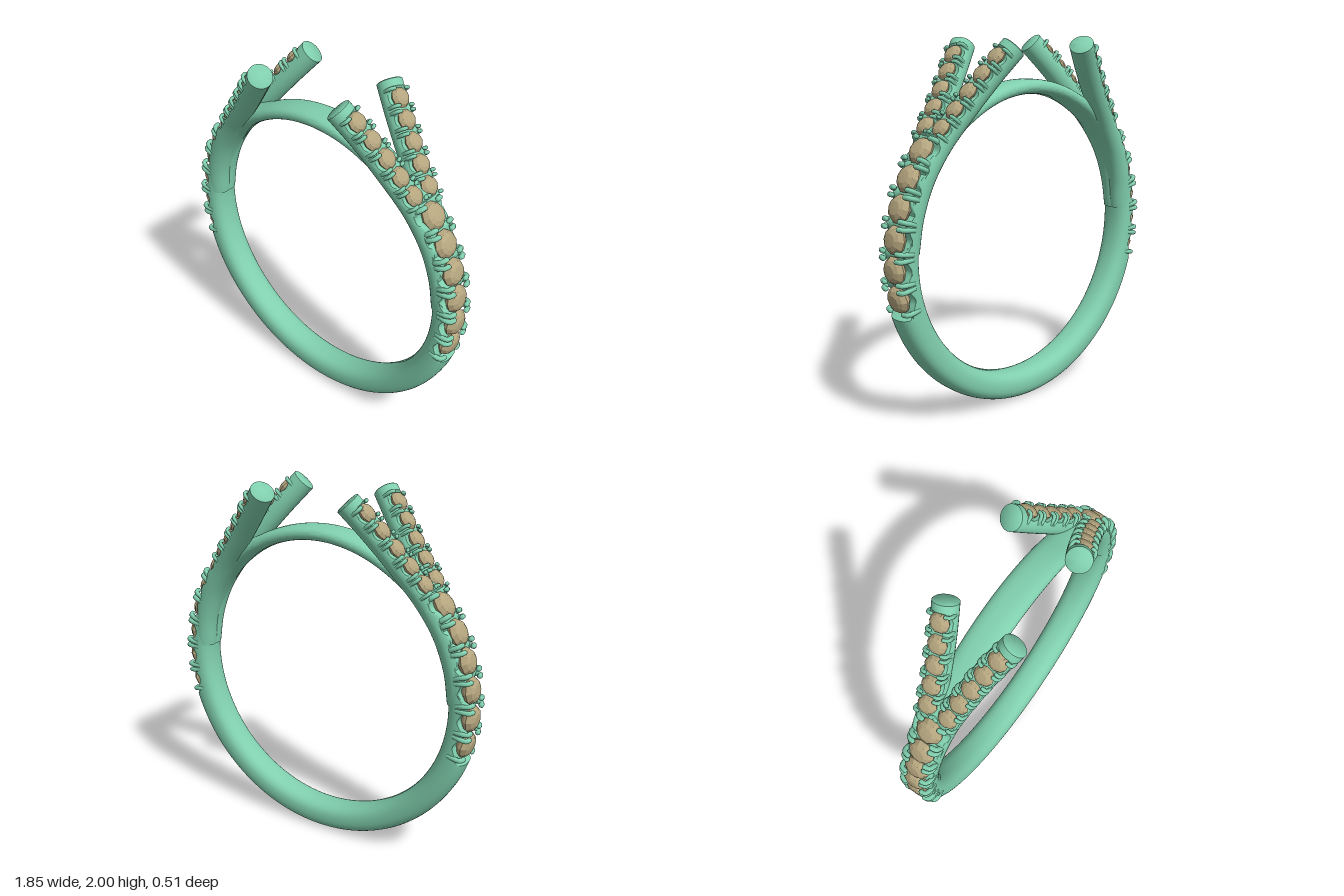
import * as THREE from 'three';
import { toCreasedNormals, mergeGeometries } from 'three/addons/utils/BufferGeometryUtils.js';

const metal = new THREE.MeshStandardMaterial({ color: 0x80cfae });
const stone = new THREE.MeshStandardMaterial({ color: 0xb5a67f, flatShading: true });

const CENTER_Y = 0.93, INNER = 0.77, GIRDLE = 0.882;
const FIRST = -0.21, PITCH = 0.173, SIDE_GEMS = 6;

// Skin of cross-sections: point(i, j) on a grid, closed around j, optionally closed along i
function loft(rows, cols, closed, point) {
  const pos = [], idx = [];
  for (let i = 0; i < rows; i++)
    for (let j = 0; j < cols; j++) pos.push(...point(i, j).toArray());
  for (let i = 0; i < (closed ? rows : rows - 1); i++)
    for (let j = 0; j < cols; j++) {
      const i2 = (i + 1) % rows, j2 = (j + 1) % cols;
      const a = i * cols + j, b = i * cols + j2, c = i2 * cols + j, d = i2 * cols + j2;
      idx.push(a, b, c, b, d, c);
    }
  const g = new THREE.BufferGeometry();
  g.setAttribute('position', new THREE.Float32BufferAttribute(pos, 3));
  g.setIndex(idx);
  return toCreasedNormals(g, 0.7);
}

function mesh(name, geometry, material) {
  const m = new THREE.Mesh(geometry, material);
  m.name = name;
  return m;
}

// Hoop: domed section, thin at the top, cut down to a scalloped seat under the side gems
function bandGeometry() {
  const rows = 400, cols = 32;
  return loft(rows, cols, true, (i, j) => {
    const a = (i / rows) * Math.PI * 2, b = (j / cols) * Math.PI * 2;
    const lift = Math.atan2(Math.sin(a), Math.abs(Math.cos(a)));
    const thick = 0.157 - 0.077 * THREE.MathUtils.smoothstep(lift, 0.6, 1.1);
    const soft = v => Math.sign(v) * Math.pow(Math.abs(v), 0.8);
    let r = INNER + thick / 2 + (thick / 2) * soft(Math.sin(b));
    const phase = (lift - FIRST) / PITCH;
    if (phase > -0.52 && phase < SIDE_GEMS - 0.45)
      r = Math.min(r, 0.865 - 0.018 * Math.cos(phase * Math.PI * 2));
    return new THREE.Vector3(r * Math.cos(a), CENTER_Y + r * Math.sin(a), 0.089 * soft(Math.cos(b)));
  });
}

// Centre line of one upper arm, splaying to +z or -z
const armCurve = s => new THREE.CatmullRomCurve3([
  [0.825, 0.98, 0.018], [0.80, 1.15, 0.027], [0.735, 1.33, 0.036], [0.63, 1.495, 0.05],
  [0.49, 1.67, 0.09], [0.365, 1.825, 0.138], [0.255, 1.957, 0.19],
].map(([x, y, z]) => new THREE.Vector3(x, y, s * z)));

// Tangent, outward normal and side vector on a curve
function frame(curve, u) {
  const t = curve.getTangentAt(u);
  const n = new THREE.Vector3(t.y, -t.x, 0).normalize();
  return { p: curve.getPointAt(u), t, n, z: n.clone().cross(t) };
}

// Round arm with a flat gem seat, full round at the tip, closed by a flat end
function armGeometry(curve) {
  const rows = 90, cols = 28, L = curve.getLength();
  return loft(rows + 2, cols, false, (i, j) => {
    const u = Math.min(i / (rows - 1), 1), f = frame(curve, u);
    const b = (j / cols) * Math.PI * 2;
    const R = i > rows ? 0 : i === rows ? 0.06 : 0.066;
    if (i >= rows) f.p.addScaledVector(f.t, 0.005);
    const fromTip = (1 - u) * L;
    const wave = Math.cos(((fromTip - 0.095) / 0.112) * Math.PI * 2);
    const cap = fromTip > 0.04 ? 0.034 - 0.012 * wave : 1;
    return f.p.addScaledVector(f.z, R * Math.cos(b))
      .addScaledVector(f.n, Math.min(R * Math.sin(b), cap));
  });
}

// Faceted stone: pavilion, girdle, crown and table
const gemGeometry = new THREE.LatheGeometry([
  [0, -0.07], [0.068, -0.012], [0.075, 0.004], [0.058, 0.028], [0.036, 0.039], [0, 0.041],
].map(([x, y]) => new THREE.Vector2(x, y)), 10);

// Four claws curling over the stone from both sides
function clawGeometry() {
  const parts = [];
  for (const sx of [-1, 1]) for (const sz of [-1, 1]) {
    const path = new THREE.CatmullRomCurve3([[-0.05, 0.08], [0, 0.084], [0.023, 0.074], [0.028, 0.052]]
      .map(([y, z]) => new THREE.Vector3(sx * 0.06, y, sz * z)));
    parts.push(new THREE.TubeGeometry(path, 8, 0.0135, 8));
    const tip = path.getPoint(1);
    parts.push(new THREE.SphereGeometry(0.0135, 8, 6).translate(tip.x, tip.y, tip.z));
  }
  return mergeGeometries(parts);
}
const claws = clawGeometry();

// One gem with its claws, standing on a frame
function setting(name, p, t, n, scale) {
  const g = new THREE.Group();
  g.name = name;
  g.add(mesh('gem', gemGeometry, stone), mesh('claws', claws, metal));
  g.quaternion.setFromRotationMatrix(new THREE.Matrix4().makeBasis(t, n, t.clone().cross(n)));
  g.position.copy(p);
  g.scale.setScalar(scale);
  return g;
}

// Everything on one shoulder of the ring
function shoulder() {
  const g = new THREE.Group();
  for (let k = 0; k < SIDE_GEMS; k++) {
    const a = FIRST + k * PITCH, c = Math.cos(a), s = Math.sin(a);
    g.add(setting('sideSetting', new THREE.Vector3(GIRDLE * c, CENTER_Y + GIRDLE * s, 0),
      new THREE.Vector3(-s, c, 0), new THREE.Vector3(c, s, 0), 1));
  }
  for (const side of [1, -1]) {
    const curve = armCurve(side), L = curve.getLength();
    g.add(mesh(side > 0 ? 'frontArm' : 'backArm', armGeometry(curve), metal));
    for (let k = 0; k < 5; k++) {
      const f = frame(curve, 1 - (0.095 + 0.112 * k) / L);
      g.add(setting('armSetting', f.p.addScaledVector(f.n, 0.042), f.t, f.n, 0.72));
    }
  }
  // Small bead where the arms part
  const bead = mesh('forkBead', new THREE.SphereGeometry(0.024, 12, 8), metal);
  bead.position.set(0.88 * Math.cos(0.765), CENTER_Y + 0.88 * Math.sin(0.765), 0);
  g.add(bead);
  return g;
}

export function createModel() {
  const model = new THREE.Group();
  model.name = 'ring';
  model.add(mesh('band', bandGeometry(), metal));
  const left = shoulder();
  left.name = 'leftShoulder';
  const right = left.clone();
  right.name = 'rightShoulder';
  right.rotation.y = Math.PI;
  model.add(left, right);
  return model;
}
